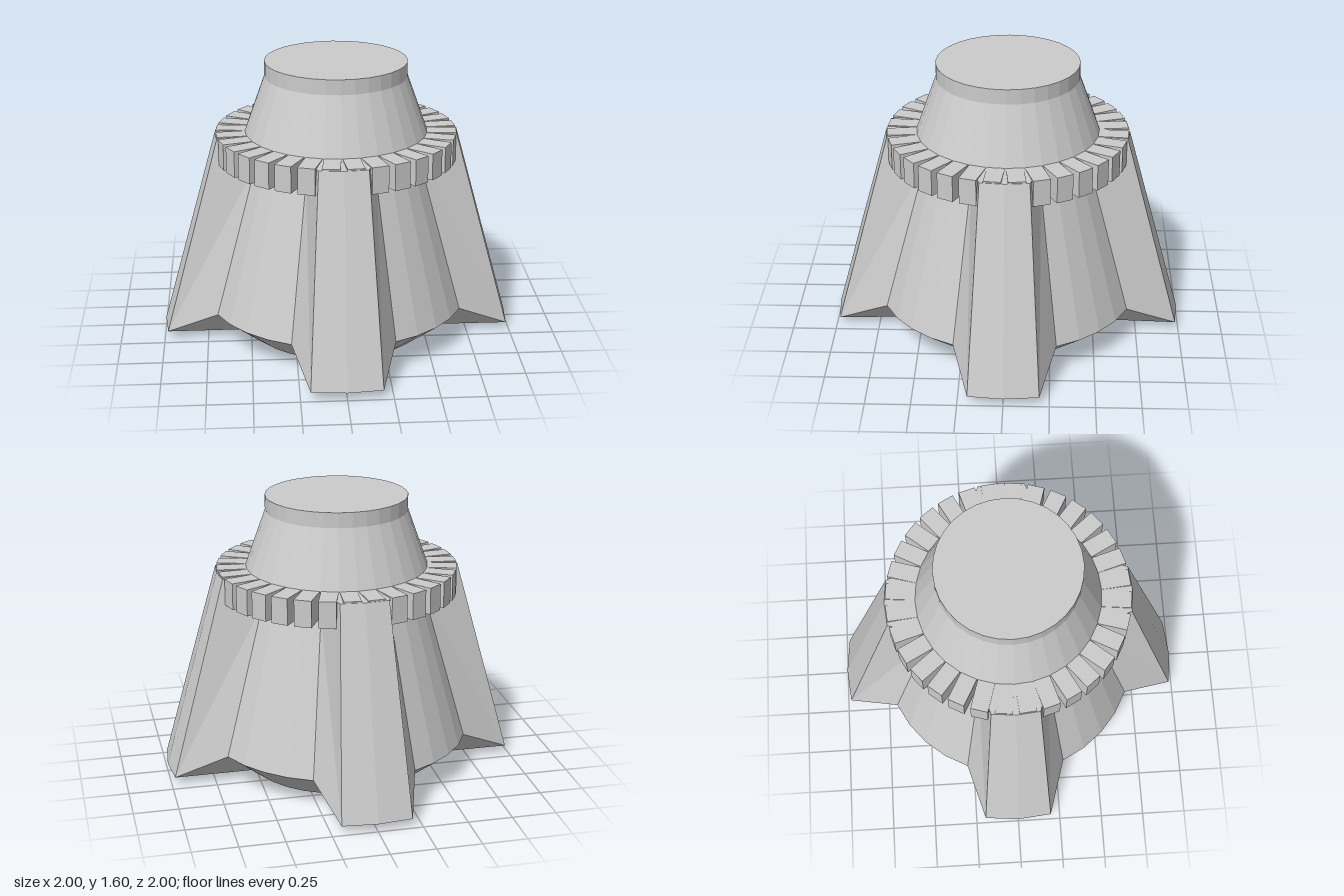
import * as THREE from 'three';

const SIDES = 32;
const material = new THREE.MeshStandardMaterial({ color: 0xcccccc, flatShading: true });

// Each ring is a function of the side index returning [radius, height]
function loftRings(rings) {
  const positions = [];
  const index = [];
  for (const ring of rings) {
    for (let i = 0; i < SIDES; i++) {
      const a = (i / SIDES) * Math.PI * 2;
      const [r, y] = ring(i);
      positions.push(r * Math.sin(a), y, r * Math.cos(a));
    }
  }
  for (let k = 0; k < rings.length - 1; k++) {
    for (let i = 0; i < SIDES; i++) {
      const j = (i + 1) % SIDES;
      const a = k * SIDES + i, b = k * SIDES + j;
      const c = a + SIDES, d = b + SIDES;
      // Mirror the diagonal so both flanks of a fin match
      if (i % 8 < 4) index.push(a, b, d, a, d, c);
      else index.push(a, b, c, b, d, c);
    }
  }
  const geometry = new THREE.BufferGeometry();
  geometry.setAttribute('position', new THREE.Float32BufferAttribute(positions, 3));
  geometry.setIndex(index);
  geometry.computeVertexNormals();
  return geometry;
}

export function createModel() {
  const model = new THREE.Group();
  const add = (name, geometry, parent = model) => {
    const mesh = new THREE.Mesh(geometry, material);
    mesh.name = name;
    parent.add(mesh);
    return mesh;
  };

  // Three neighbouring vertices every quarter turn are pulled out into a fin
  const isFin = (i) => [0, 1, 7].includes(i % 8);
  const plain = (r, y) => () => [r, y];
  const finned = (wall, fin) => (i) => (isFin(i) ? fin : wall);

  // Flared body with four fins, closed below by a flat disc
  add('finnedBody', loftRings([
    plain(0, 0),
    plain(0.518, 0),
    finned([0.747, 0.185], [1, 0.045]),
    finned([0.5, 1.04], [0.685, 1.182]),
    plain(0.515, 1.188),
  ]));

  // Conical shoulder, short neck and flat top
  add('shoulderAndNeck', loftRings([
    plain(0.515, 1.188),
    plain(0.4, 1.51),
    plain(0.4, 1.595),
    plain(0, 1.595),
  ]));

  // Ring of square teeth, one per side
  const teeth = new THREE.Group();
  teeth.name = 'toothRing';
  model.add(teeth);
  const toothShape = new THREE.BoxGeometry(0.096, 0.15, 0.2).translate(0, 1.115, 0.578);
  for (let i = 0; i < SIDES; i++) {
    add('tooth', toothShape, teeth).rotation.y = ((i + 0.5) / SIDES) * Math.PI * 2;
  }

  return model;
}
